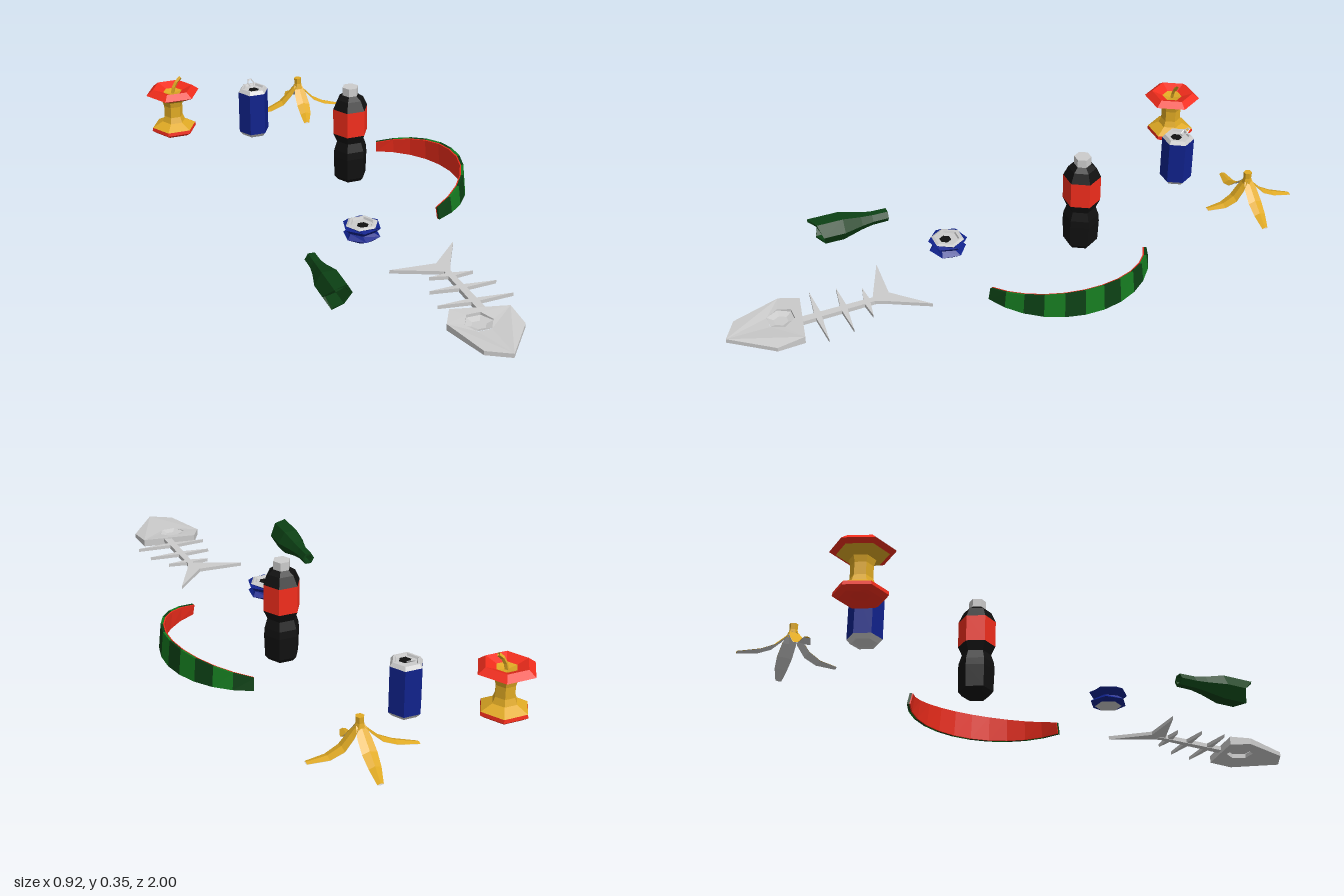
import * as THREE from 'three';

const mat = (color) => new THREE.MeshStandardMaterial({ color, side: THREE.DoubleSide, flatShading: true });
const M = {
  grey: mat(0xcccccc), red: mat(0xf22d1c), yellow: mat(0xe0aa24), blue: mat(0x10228c),
  black: mat(0x101010), dark: mat(0x0c4014), green: mat(0x167a20),
};

function add(parent, name, geo, material) {
  const mesh = new THREE.Mesh(geo, material);
  mesh.name = name;
  parent.add(mesh);
  return mesh;
}

function group(parent, name, x = 0, z = 0) {
  const g = new THREE.Group();
  g.name = name;
  g.position.set(x, 0, z);
  parent.add(g);
  return g;
}

// Six-sided turned body with corners on +x and -x; profile is [radius, height], bottom to top
const hex = (profile) =>
  new THREE.LatheGeometry(profile.map(([r, y]) => new THREE.Vector2(r, y)), 6, Math.PI / 2);

// Flat plate lying on the ground plane, outline given as [x, z]
function plate(outline, top, depth, hole) {
  const toVec = (pts) => pts.map(([x, z]) => new THREE.Vector2(x, z));
  const shape = new THREE.Shape(toVec(outline));
  if (hole) shape.holes.push(new THREE.Path(toVec(hole)));
  const geo = new THREE.ExtrudeGeometry(shape, { depth, bevelEnabled: false });
  return geo.rotateX(Math.PI / 2).translate(0, top, 0);
}

function appleCore(root) {
  const g = group(root, 'appleCore', -0.365, -0.8);
  add(g, 'appleBase', hex([[0, 0.02], [0.03, 0.02], [0.065, 0.01], [0.082, 0.022], [0.08, 0.034]]), M.red);
  add(g, 'appleFlesh', hex([[0.08, 0.034], [0.042, 0.054], [0.034, 0.075], [0.034, 0.115], [0.04, 0.135], [0.078, 0.154]]), M.yellow);
  add(g, 'appleTop', hex([[0.078, 0.154], [0.098, 0.164], [0.073, 0.183], [0.035, 0.168]]), M.red);
  add(g, 'appleHollow', hex([[0.035, 0.168], [0, 0.16]]), M.yellow);
  const path = new THREE.QuadraticBezierCurve3(
    new THREE.Vector3(0, 0.16, 0), new THREE.Vector3(0.005, 0.2, 0), new THREE.Vector3(0.032, 0.218, 0));
  add(g, 'appleStem', new THREE.TubeGeometry(path, 3, 0.007, 4), M.yellow);
}

// Can lid with raised rim and dark opening; edge is the height of its sloping side
function canLid(g, top, edge) {
  add(g, 'canLid', hex([[0.055, top - edge], [0.046, top], [0.039, top], [0.036, top - 0.007], [0, top - 0.007]]), M.grey);
  add(g, 'canOpening', hex([[0.02, top - 0.006], [0, top - 0.006]]), M.black).position.z = 0.008;
}

function cans(root) {
  const can = group(root, 'can', -0.095, -0.68);
  add(can, 'canBottom', hex([[0, 0.014], [0.035, 0.014], [0.043, 0.01], [0.055, 0.024]]), M.grey);
  add(can, 'canBody', hex([[0.055, 0.024], [0.055, 0.179]]), M.blue);
  canLid(can, 0.191, 0.012);
  const tab = add(can, 'pullTab', new THREE.TorusGeometry(0.011, 0.0025, 4, 6), M.grey);
  tab.scale.y = 1.6;
  tab.rotation.x = -1.0;
  tab.position.set(0, 0.198, -0.026);

  const crushed = group(root, 'crushedCan', -0.015, 0.21);
  const rings = [[0.044, 0.014], [0.062, 0.024], [0.044, 0.038], [0.065, 0.057], [0.055, 0.063]];
  const twist = [0, 0.4, 0.25, 0.3, 0];
  const body = hex(rings), p = body.attributes.position, v = new THREE.Vector3();
  const up = new THREE.Vector3(0, 1, 0);
  for (let i = 0; i < p.count; i++) {
    v.fromBufferAttribute(p, i).applyAxisAngle(up, twist[i % rings.length]);
    p.setXYZ(i, v.x, v.y, v.z);
  }
  add(crushed, 'crushedBody', body, M.blue);
  add(crushed, 'crushedBottom', hex([[0, 0.014], [0.044, 0.014]]), M.grey);
  canLid(crushed, 0.067, 0.004);
}

function sodaBottle(root) {
  const g = group(root, 'sodaBottle', 0.106, -0.215);
  add(g, 'bottleBody', hex([[0, 0.014], [0.045, 0.01], [0.057, 0.025], [0.06, 0.1], [0.058, 0.125], [0.048, 0.155], [0.0615, 0.185]]), M.black);
  add(g, 'bottleLabel', hex([[0.0615, 0.185], [0.0615, 0.275]]), M.red);
  add(g, 'bottleShoulder', hex([[0.0615, 0.275], [0.046, 0.308], [0.026, 0.322]]), M.black);
  add(g, 'bottleCap', hex([[0, 0.322], [0.028, 0.322], [0.028, 0.35], [0, 0.35]]), M.grey);
}

// Bottle on its side, neck towards the back, with a jagged broken end
function brokenBottle(root) {
  const g = group(root, 'brokenBottle', -0.234, 0);
  g.position.y = 0.05;
  const profile = [[0.038, 0.595], [0.036, 0.51], [0.014, 0.42], [0.014, 0.345], [0.022, 0.345],
    [0.023, 0.4], [0.03, 0.44], [0.047, 0.505], [0.047, 0.595], [0.038, 0.595]];
  const jag = [-0.015, 0, 0.02, -0.02, -0.005, -0.025];
  const geo = hex(profile), p = geo.attributes.position;
  for (let i = 0; i < p.count; i++) {
    const column = Math.floor(i / profile.length) % 6;
    if (p.getY(i) > 0.58) p.setY(i, p.getY(i) + jag[column]);
  }
  add(g, 'brokenGlass', geo.rotateX(Math.PI / 2), M.dark);
}

// Curved rind: boxes bent around an arc, the top cut by a sloping plane
function melonRind(root) {
  const g = group(root, 'melonRind', 0.156, -0.102);
  const count = 11, half = 1.19, step = (2 * half) / count;
  const segment = (i, inner, outer) => {
    const geo = new THREE.BoxGeometry(1, 1, 1), p = geo.attributes.position;
    for (let k = 0; k < p.count; k++) {
      const a = -half + step * (i + 0.5 + p.getZ(k));
      const top = p.getY(k) > 0;
      const r = (p.getX(k) > 0 ? outer : inner) - (top ? 0.008 : 0);
      const x = r * Math.cos(a);
      p.setXYZ(k, x, top ? 0.05 + (x - 0.113) * 0.27 : 0.01, r * Math.sin(a));
    }
    return geo;
  };
  for (let i = 0; i < count; i++) {
    add(g, 'rindStripe', segment(i, 0.298, 0.306), i % 2 ? M.green : M.dark);
    add(g, 'rindFlesh', segment(i, 0.294, 0.298), M.red);
  }
}

// Four peel strips draped from a stub, yellow outside with a pale lining beneath
function bananaPeel(root) {
  const g = group(root, 'bananaPeel', 0.128, -0.832);
  // distance as a share of length, height, half width, sideways drift
  const rows = [[1, 0.014, 0.01, 0.014], [0.62, 0.029, 0.02, 0], [0.36, 0.052, 0.024, -0.004],
    [0.17, 0.085, 0.022, -0.002], [0.03, 0.112, 0.014, 0]];
  const strip = (length, drop) => {
    const geo = new THREE.PlaneGeometry(2, 1, 2, rows.length - 1), p = geo.attributes.position;
    for (let i = 0; i < p.count; i++) {
      const [d, y, w, drift] = rows[Math.floor(i / 3)], side = p.getX(i);
      // the lining meets the skin at both edges
      const sag = Math.abs(side) * w * 0.3 + (1 - Math.abs(side)) * drop;
      p.setXYZ(i, -side * w - drift, y - sag, d * length);
    }
    return geo;
  };
  for (const [angle, length] of [[0, 0.14], [Math.PI / 2, 0.16], [Math.PI, 0.168], [-Math.PI / 2, 0.185]]) {
    add(g, 'peelSkin', strip(length, 0), M.yellow).rotation.y = angle;
    const lining = add(g, 'peelLining', strip(length, 0.005), M.grey);
    lining.rotation.y = angle;
    lining.position.y = -0.001;
  }
  add(g, 'peelStub', hex([[0.018, 0.095], [0.013, 0.115], [0.014, 0.136], [0, 0.136]]), M.yellow);
}

function fishBones(root) {
  const g = group(root, 'fishBones');
  const cx = 0.115, cz = 0.818, eye = [];
  for (let i = 0; i < 6; i++)
    eye.push([cx + 0.046 * Math.cos(i * Math.PI / 3), cz + 0.046 * Math.sin(i * Math.PI / 3)]);
  const outline = [[0.055, 0.738], [0.237, 0.775], [0.242, 0.865], [0.14, 1], [0.066, 0.957], [0.02, 0.8]];
  const skull = plate(outline, 0.03, 0.029, eye), p = skull.attributes.position;
  // upper face slopes down from the back of the head
  for (let i = 0; i < p.count; i++)
    if (p.getY(i) > 0.02) p.setY(i, 0.015 + 0.015 * THREE.MathUtils.clamp((0.85 - p.getZ(i)) / 0.1, 0, 1));
  skull.computeVertexNormals();
  add(g, 'skull', skull, M.grey);
  const socket = hex([[0, 0.009], [0.024, 0.009], [0.046, 0.016]]);
  add(g, 'eyeSocket', socket, M.grey).position.set(cx, 0, cz);
  add(g, 'spine', plate([[0.135, 0.5], [0.155, 0.5], [0.165, 0.77], [0.138, 0.77]], 0.025, 0.014), M.grey);
  for (const [z, left, right] of [[0.543, 0.077, 0.22], [0.62, 0.045, 0.262], [0.705, 0.034, 0.278]])
    add(g, 'rib', plate([[left, z - 0.004], [0.14, z - 0.009], [right, z + 0.006], [0.16, z + 0.013], [0.14, z + 0.012]], 0.025, 0.012), M.grey);
  add(g, 'tailFin', plate([[-0.02, 0.457], [0.132, 0.468], [0.239, 0.358], [0.172, 0.485], [0.155, 0.525], [0.133, 0.522]], 0.025, 0.012), M.grey);
}

export function createModel() {
  const root = new THREE.Group();
  root.name = 'litter';
  for (const build of [appleCore, cans, sodaBottle, brokenBottle, melonRind, bananaPeel, fishBones]) build(root);
  return root;
}
